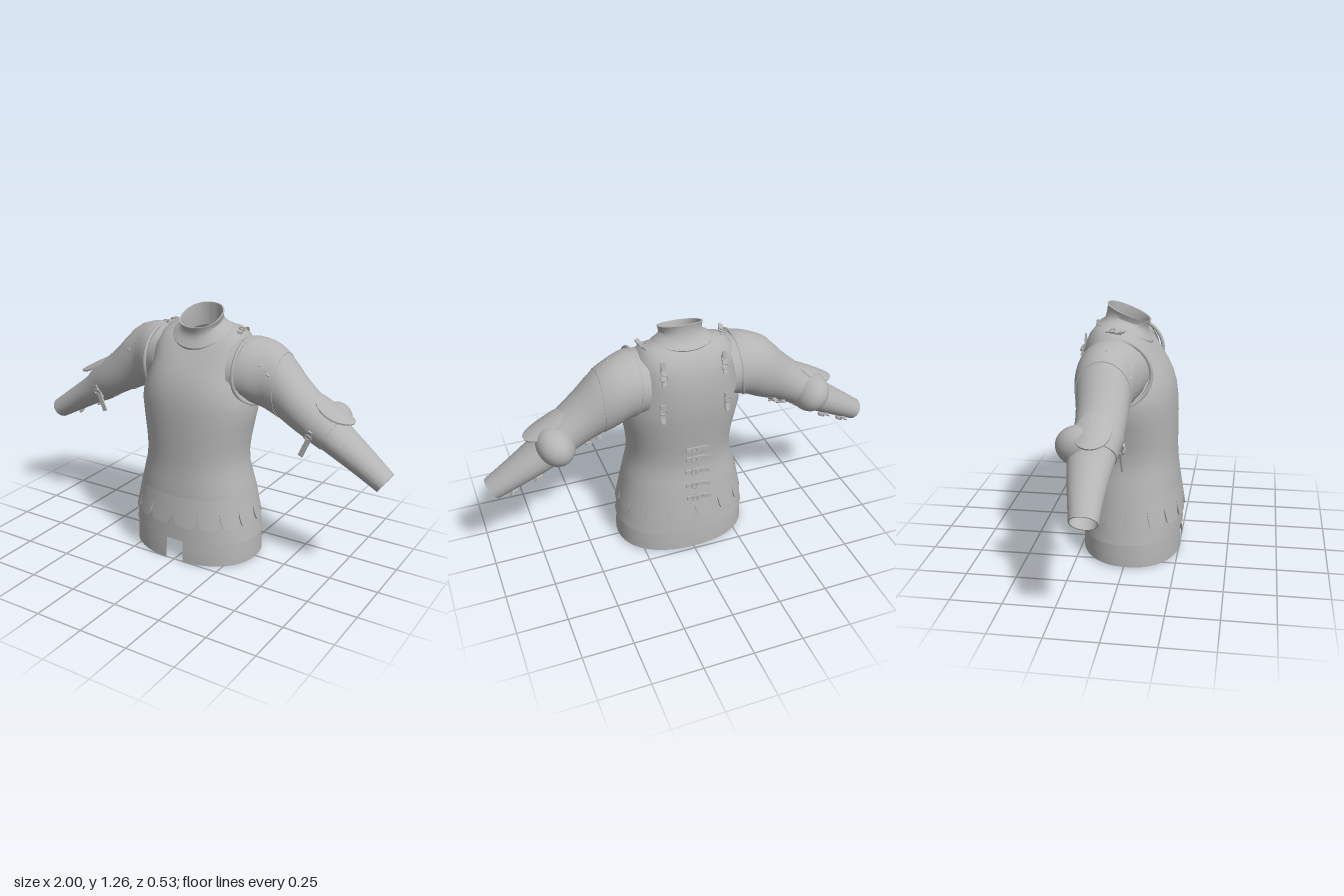
import * as THREE from 'three';
import { mergeVertices, toCreasedNormals } from 'three/addons/utils/BufferGeometryUtils.js';

const V = (x, y, z) => new THREE.Vector3(x, y, z);

export function createModel() {
  const model = new THREE.Group();
  const steel = new THREE.MeshStandardMaterial({ color: 0xb4b4b4, side: THREE.DoubleSide });
  steel.name = 'steel grey';

  const add = (parent, name, geometry, pos) => {
    const mesh = new THREE.Mesh(geometry, steel);
    mesh.name = name;
    if (pos) mesh.position.copy(pos);
    parent.add(mesh);
    return mesh;
  };

  // Surface from a rule: point(i, j) for rows i and columns j
  function surface(rows, cols, point, closed = true) {
    const pos = [], index = [];
    for (let i = 0; i < rows; i++) for (let j = 0; j < cols; j++) pos.push(...point(i, j).toArray());
    const last = closed ? cols : cols - 1;
    for (let i = 0; i < rows - 1; i++) for (let j = 0; j < last; j++) {
      const k = (j + 1) % cols, a = i * cols + j, b = i * cols + k, c = a + cols, d = b + cols;
      index.push(a, b, d, a, d, c);
    }
    const g = new THREE.BufferGeometry();
    g.setAttribute('position', new THREE.Float32BufferAttribute(pos, 3));
    g.setIndex(index);
    return toCreasedNormals(g, 0.7);
  }

  // Body ring: [front y, back y, half width, front z, back z, side lift, squareness]
  function ringPoint([yF, yB, w, zF, zB, lift = 0, n = 2.2], t) {
    const p = v => Math.sign(v) * Math.abs(v) ** (2 / n);
    const x = p(Math.sin(t)), z = p(Math.cos(t));
    return V(x * w, yB + (yF - yB) * (z + 1) / 2 + lift * x * x, (zF + zB) / 2 + z * (zF - zB) / 2);
  }
  const loft = (rings, from = 0, to = Math.PI * 2, cols = 80, closed = true) =>
    surface(rings.length, cols, (i, j) =>
      ringPoint(rings[i], from + (to - from) * j / (closed ? cols : cols - 1)), closed);

  // Breastplate and backplate
  add(model, 'cuirass', loft([
    [0.13, 0.13, 0.333, 0.25, -0.24], [0.13, 0.13, 0.341, 0.26, -0.25],
    [0.2, 0.2, 0.327, 0.256, -0.243], [0.28, 0.28, 0.316, 0.25, -0.235],
    [0.36, 0.36, 0.303, 0.246, -0.229], [0.43, 0.43, 0.286, 0.238, -0.215],
    [0.49, 0.49, 0.27, 0.231, -0.205], [0.55, 0.55, 0.265, 0.229, -0.205],
    [0.62, 0.62, 0.271, 0.229, -0.212], [0.72, 0.72, 0.288, 0.229, -0.226],
    [0.8, 0.8, 0.302, 0.225, -0.237], [0.86, 0.86, 0.294, 0.217, -0.242, 0, 2.3],
    [0.92, 0.93, 0.272, 0.2, -0.243, 0, 2.4], [0.97, 1.0, 0.255, 0.175, -0.239, 0, 2.5],
    [1.02, 1.07, 0.246, 0.142, -0.226, 0, 2.6], [1.06, 1.12, 0.236, 0.112, -0.203, 0.025, 2.6],
    [1.085, 1.155, 0.2, 0.092, -0.175, 0.035, 2.4], [1.1, 1.17, 0.145, 0.08, -0.15, 0.03],
  ]));
  // Gorget with its open, tilted collar
  add(model, 'gorget', loft([
    [1.075, 1.155, 0.152, 0.1, -0.172, 0.035], [1.085, 1.163, 0.153, 0.103, -0.176, 0.035],
    [1.115, 1.178, 0.128, 0.085, -0.148, 0.03], [1.135, 1.198, 0.108, 0.077, -0.131, 0.02],
    [1.16, 1.23, 0.1, 0.078, -0.123], [1.176, 1.258, 0.104, 0.088, -0.12],
    [1.182, 1.265, 0.107, 0.09, -0.122], [1.182, 1.265, 0.099, 0.082, -0.114],
    [1.15, 1.21, 0.094, 0.07, -0.116], [1.08, 1.15, 0.1, 0.07, -0.12],
  ]));
  // Lower skirt with the notch at the front
  add(model, 'lowerSkirt', loft([
    [0.145, 0.145, 0.332, 0.25, -0.24], [0.08, 0.08, 0.337, 0.255, -0.245],
    [0.03, 0.025, 0.34, 0.257, -0.247], [0.005, 0.02, 0.34, 0.257, -0.247],
  ], 0.13, Math.PI * 2 - 0.1, 90, false));
  add(model, 'notchTop', loft([
    [0.145, 0.145, 0.332, 0.25, -0.24], [0.12, 0.12, 0.334, 0.252, -0.242],
  ], -0.12, 0.15, 8, false));

  // Scalloped plate: rounded tabs divided by narrow slots
  const TABS = 16, PER = 20, bandRows = 6;
  add(model, 'scallopedFauld', surface(bandRows, TABS * PER, (i, j) => {
    const u = Math.abs(((j % PER) / PER) * 2 - 1);
    const bottom = 0.208 + 0.085 * u ** 7;
    const y = i === bandRows - 1 ? bottom : 0.36 + (bottom - 0.36) * i / (bandRows - 2);
    const f = (0.36 - y) / 0.16, inset = i === bandRows - 1 ? 0.009 : 0;
    return ringPoint([y, y, 0.304 + 0.033 * f - inset, 0.247 + 0.025 * f - inset,
      -0.23 - 0.022 * f + inset], j / (TABS * PER) * Math.PI * 2);
  }));

  // Strap with a buckle and a loose tongue, long axis on local x
  function strap(parent, name, pos, normal, length, roll = 0) {
    const g = new THREE.Group();
    g.name = name;
    add(g, 'strapBand', new THREE.BoxGeometry(length, 0.022, 0.008), V(0, 0, 0.004));
    const tongue = add(g, 'strapTongue', new THREE.BoxGeometry(length * 0.45, 0.02, 0.006), V(-length * 0.5, 0, 0.012));
    tongue.rotation.y = 0.25;
    const buckle = add(g, 'buckle', new THREE.TorusGeometry(0.015, 0.004, 6, 12), V(length * 0.1, 0, 0.013));
    buckle.scale.set(0.9, 1.15, 1);
    g.position.copy(pos);
    g.quaternion.setFromUnitVectors(V(0, 0, 1), normal.clone().normalize());
    g.rotateZ(roll);
    parent.add(g);
  }
  for (const [y, z] of [[0.345, -0.236], [0.415, -0.222], [0.49, -0.21], [0.57, -0.212], [0.63, -0.218]])
    strap(model, 'backStrap', V(-0.01, y, z), V(0, 0, -1), 0.1, Math.PI);

  // Arm sections: upper edge (x, y, front z) and lower edge (x, y, back z)
  const upper = new THREE.CatmullRomCurve3([V(0.2, 1.13, 0.115), V(0.28, 1.14, 0.09), V(0.37, 1.118, 0.06),
    V(0.44, 1.075, 0.052), V(0.53, 0.98, 0.05), V(0.62, 0.9, 0.045), V(0.7, 0.835, 0.03),
    V(0.76, 0.775, 0.02), V(0.87, 0.69, 0.005), V(1.0, 0.59, -0.003)]);
  const lower = new THREE.CatmullRomCurve3([V(0.22, 0.83, -0.215), V(0.3, 0.82, -0.218), V(0.36, 0.795, -0.215),
    V(0.43, 0.763, -0.2), V(0.49, 0.733, -0.185), V(0.56, 0.697, -0.18), V(0.62, 0.665, -0.19),
    V(0.68, 0.634, -0.185), V(0.8, 0.572, -0.162), V(0.94, 0.5, -0.13)]);
  function armPoint(s, t, scale = 1) {
    const a = upper.getPoint(s / 9), b = lower.getPoint(s / 9);
    const c = Math.cos(t) * scale / 2, r = Math.sin(t) * scale / 2;
    return V((a.x + b.x) / 2 + (a.x - b.x) * c, (a.y + b.y) / 2 + (a.y - b.y) * c,
      (a.z + b.z) / 2 + (a.z - b.z) * r);
  }
  const armNormal = (s, t) => armPoint(s, t).sub(armPoint(s, 0, 0)).normalize();
  // Sleeve between two sections; its far edge turns inwards
  function sleeve(parent, name, from, to, scale, inner = 0.94) {
    const rows = 22;
    add(parent, name, surface(rows + 2, 48, (i, j) => {
      const t = j / 48 * Math.PI * 2;
      if (i > rows) return armPoint(to - 0.5, t, scale * inner);
      if (i === rows) return armPoint(to, t, scale * inner);
      return armPoint(from + (to - from) * i / (rows - 1), t, scale);
    }));
  }
  // Thin plate from a shape, bent down towards its sides
  function bentPlate(shape, bendX, bendY, depth = 0.008) {
    const cap = new THREE.ExtrudeGeometry(shape, { depth, bevelEnabled: false, curveSegments: 24 });
    cap.dispose();
    const outline = shape.getPoints(24), rings = 6, n = outline.length;
    return surface(rings + 2, n, (i, j) => {
      const f = Math.min(i, rings) / rings, p = outline[j], x = p.x * f, y = p.y * f;
      return V(x, y, (i > rings ? 0 : depth) - bendX * x * x - bendY * y * y);
    });
  }
  const scallops = new THREE.Shape(Array.from({ length: 98 }, (_, k) => {
    const t = k / 98 * Math.PI * 2, r = 0.069 + 0.01 * Math.abs(Math.sin(t * 7));
    return new THREE.Vector2(Math.cos(t) * r, Math.sin(t) * r);
  }));
  const fan = new THREE.Shape().absellipse(0, 0, 0.115, 0.08, 0, Math.PI * 2);

  for (const side of [1, -1]) {
    const arm = new THREE.Group();
    arm.name = side > 0 ? 'leftArm' : 'rightArm';
    arm.scale.x = side;
    model.add(arm);

    sleeve(arm, 'armTube', 0, 9, 1, 0.92);
    sleeve(arm, 'shoulderPlate', 0.6, 2.9, 1.025);
    sleeve(arm, 'elbowBand', 5.2, 6.5, 1.05);

    // Rolled rim of the arm opening
    const rim = Array.from({ length: 24 }, (_, k) => {
      const t = k / 24 * Math.PI * 2, c = Math.cos(t);
      return V(0.25 + 0.05 * Math.max(0, -c) ** 2, 0.978 + 0.158 * c, -0.045 + 0.168 * Math.sin(t));
    });
    add(arm, 'armholeRim', new THREE.TubeGeometry(new THREE.CatmullRomCurve3(rim, true), 72, 0.009, 8, true));

    // Elbow dome and its upper wing
    const dome = add(arm, 'elbowDome', new THREE.SphereGeometry(1, 32, 20), V(0.66, 0.765, -0.135));
    dome.scale.set(0.088, 0.1, 0.112);
    dome.rotation.z = -0.55;
    const wing = add(arm, 'elbowWing', bentPlate(fan, 0.3, 4), V(0.695, 0.856, -0.075));
    wing.quaternion.setFromRotationMatrix(new THREE.Matrix4().makeBasis(
      V(0.88, -0.475, 0), V(0, 0, -1), V(0.475, 0.88, 0)));

    // Scalloped shoulder rosette with its tie
    const facing = V(0.58, 0.62, 0.53).normalize();
    const rosette = add(arm, 'shoulderRosette', bentPlate(scallops, 2, 2), V(0.392, 1.068, -0.012));
    rosette.quaternion.setFromUnitVectors(V(0, 0, 1), facing);
    for (const [angle, length] of [[0.5, 0.06], [-0.25, 0.1]]) {
      const tie = add(arm, 'rosetteTie', new THREE.BoxGeometry(0.014, length, 0.007),
        V(0.4, 1.062 - length * 0.3, 0.015));
      tie.quaternion.copy(rosette.quaternion);
      tie.rotateZ(angle);
    }

    // Shoulder strap and back straps
    strap(arm, 'shoulderStrap', V(0.195, 1.158, -0.06), V(0.25, 1, 0), 0.08, Math.PI / 2);
    strap(arm, 'upperBackStrap', V(0.15, 1.075, -0.208), V(0, 0.35, -1), 0.09, Math.PI / 2);
    strap(arm, 'lowerBackStrap', V(0.16, 0.89, -0.225), V(0.15, 0, -1), 0.08, Math.PI / 2);

    // Buckled straps on the underside of the arm
    for (const s of [3.3, 4.1, 7.6, 8.5])
      strap(arm, 'armStrap', armPoint(s, Math.PI + 0.55), armNormal(s, Math.PI + 0.55), 0.05, Math.PI / 2);
    const elbowPos = armPoint(5.6, Math.PI * 0.62, 1.06);
    strap(arm, 'elbowStrap', elbowPos, armNormal(5.6, Math.PI * 0.62), 0.08, 1.2);
    const loose = add(arm, 'looseStrapEnd', new THREE.BoxGeometry(0.025, 0.11, 0.007), V(0.6, 0.68, 0.035));
    loose.rotation.z = -0.4;
  }
  return model;
}
